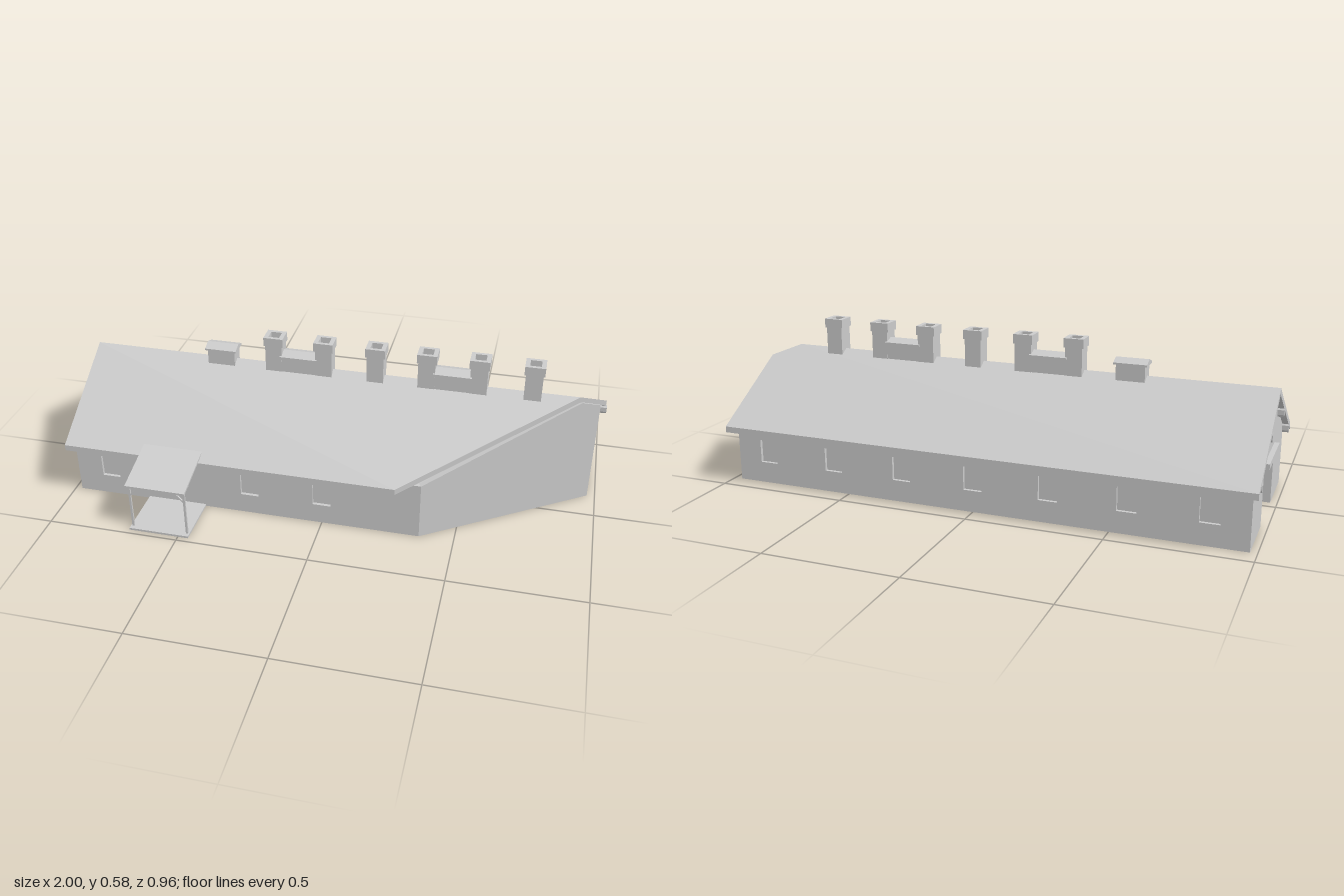
import * as THREE from 'three';

const mat = new THREE.MeshStandardMaterial({ color: 0xcccccc, flatShading: true, side: THREE.DoubleSide });
const RIDGE_Z = -0.08, RIDGE_Y = 0.465, PITCH = 0.605, ROOF_T = 0.023;
const roofY = (z) => RIDGE_Y - PITCH * Math.abs(z - RIDGE_Z);
const wallY = (z) => roofY(z) - ROOF_T;

function add(parent, name, geo) {
  const m = new THREE.Mesh(geo, mat);
  m.name = name;
  parent.add(m);
  return m;
}

// box given by its limits on each axis
function box(parent, name, x0, x1, y0, y1, z0, z1) {
  const g = new THREE.BoxGeometry(x1 - x0, y1 - y0, z1 - z0);
  g.translate((x0 + x1) / 2, (y0 + y1) / 2, (z0 + z1) / 2);
  return add(parent, name, g);
}

const toShape = (pts) => new THREE.Shape(pts.map(([x, y]) => new THREE.Vector2(x, y)));
const rect = (x0, x1, y0, y1) => [[x0, y0], [x1, y0], [x1, y1], [x0, y1]];

// plan outline (x, z) given thickness, its top following height(z)
function slab(parent, name, plan, thick, height) {
  const g = new THREE.ExtrudeGeometry(toShape(plan), { depth: thick, bevelEnabled: false });
  g.rotateX(Math.PI / 2);
  const p = g.attributes.position;
  for (let i = 0; i < p.count; i++) p.setY(i, p.getY(i) + height(p.getZ(i)));
  g.computeVertexNormals();
  return add(parent, name, g);
}

// upright wall from plan point a to b, with recessed windows [u0, u1, y0, y1]
function wall(parent, name, a, b, outline, windows = []) {
  const group = new THREE.Group();
  group.name = name;
  const s = toShape(outline);
  for (const w of windows) s.holes.push(new THREE.Path(toShape(rect(...w)).getPoints()));
  const g = new THREE.ExtrudeGeometry(s, { depth: 0.02, bevelEnabled: false });
  g.translate(0, 0, -0.02);
  add(group, name + 'Panel', g);
  for (const [u0, u1, y0, y1] of windows) {
    box(group, 'windowPane', u0 - 0.003, u1 + 0.003, y0 - 0.003, y1 + 0.003, -0.019, -0.012);
  }
  group.position.set(a[0], 0, a[1]);
  group.rotation.y = Math.atan2(-(b[1] - a[1]), b[0] - a[0]);
  parent.add(group);
}

// hollow square cap or shaft
function squareTube(parent, name, x, y0, y1, w, d, hole) {
  const s = toShape(rect(-w / 2, w / 2, -d / 2, d / 2));
  s.holes.push(new THREE.Path(toShape(rect(-hole / 2, hole / 2, -hole / 2, hole / 2)).getPoints()));
  const g = new THREE.ExtrudeGeometry(s, { depth: y1 - y0, bevelEnabled: false });
  g.rotateX(-Math.PI / 2);
  g.translate(x, y0, RIDGE_Z);
  add(parent, name, g);
}

function chimney(parent, x) {
  const c = new THREE.Group();
  c.name = 'chimney';
  box(c, 'chimneyShaft', x - 0.032, x + 0.032, 0.4, 0.555, RIDGE_Z - 0.032, RIDGE_Z + 0.032);
  squareTube(c, 'chimneyCap', x, 0.55, 0.585, 0.075, 0.069, 0.042);
  parent.add(c);
}

// ridge vent with a small gabled lid
function vent(parent, x0, x1, lip) {
  const v = new THREE.Group();
  v.name = 'ridgeVent';
  box(v, 'ventBody', x0, x1, 0.4, 0.512, RIDGE_Z - 0.031, RIDGE_Z + 0.031);
  const lid = toShape([[-0.038, 0.505], [0.038, 0.505], [0.038, 0.512], [0, 0.526], [-0.038, 0.512]]);
  const g = new THREE.ExtrudeGeometry(lid, { depth: x1 - x0 + 2 * lip, bevelEnabled: false });
  g.rotateY(Math.PI / 2);
  g.translate(x0 - lip, 0, RIDGE_Z);
  add(v, 'ventLid', g);
  parent.add(v);
}

export function createModel() {
  const house = new THREE.Group();
  house.name = 'house';

  // wall lines, plus the entrance recess in the left end
  const L = -0.975, R = 0.97, F = 0.275, B = -0.43;
  const cutX = 0.37, cutZ = -0.125, rz0 = -0.2, rz1 = 0.04, rx = -0.62, doorY = 0.215;

  slab(house, 'floor', [[L, F], [cutX, F], [R, cutZ], [R, B], [L, B], [L, rz0], [rx, rz0], [rx, rz1], [L, rz1]],
    0.01, () => 0.01);

  // outer walls
  const win = (u) => [u - 0.035, u + 0.035, 0.08, 0.168];
  wall(house, 'frontWall', [L, F], [cutX, F], rect(0, cutX - L, 0, wallY(F)),
    [-0.84, -0.56, -0.28, 0].map((x) => win(x - L)));
  wall(house, 'backWall', [R, B], [L, B], rect(0, R - L, 0, wallY(B)),
    [-3, -2, -1, 0, 1, 2, 3].map((i) => win(R - i * 0.28)));
  const cutLen = Math.hypot(R - cutX, F - cutZ);
  wall(house, 'angledWall', [cutX, F], [R, cutZ], [[0, 0], [cutLen, 0], [cutLen, wallY(cutZ)],
    [cutLen * (F - RIDGE_Z) / (F - cutZ), wallY(RIDGE_Z)], [0, wallY(F)]]);
  wall(house, 'rightEndWall', [R, cutZ], [R, B],
    [[0, 0], [cutZ - B, 0], [cutZ - B, wallY(B)], [0, wallY(cutZ)]], [[0.08, 0.17, 0.115, 0.2]]);
  wall(house, 'leftEndWall', [L, B], [L, F], [[0, 0], [rz0 - B, 0], [rz0 - B, doorY], [rz1 - B, doorY],
    [rz1 - B, 0], [F - B, 0], [F - B, wallY(F)], [RIDGE_Z - B, wallY(RIDGE_Z)], [0, wallY(B)]]);

  // entrance recess
  box(house, 'recessSide', L + 0.001, rx, 0, doorY + 0.01, rz0 - 0.01, rz0);
  box(house, 'recessSide', L + 0.001, rx, 0, doorY + 0.01, rz1, rz1 + 0.01);
  box(house, 'recessBack', rx, rx + 0.01, 0, doorY + 0.01, rz0 - 0.01, rz1 + 0.01);
  box(house, 'recessCeiling', L + 0.001, rx, doorY, doorY + 0.01, rz0, rz1);
  box(house, 'lintel', L - 0.018, L + 0.01, doorY - 0.005, doorY + 0.015, rz0 - 0.005, rz1 + 0.005);

  // two roof slopes, clipped along the angled wall
  slab(house, 'frontRoof', [[-0.998, RIDGE_Z], [0.893, RIDGE_Z], [0.28, 0.315], [-0.998, 0.315]], ROOF_T, roofY);
  slab(house, 'backRoof', [[-0.998, -0.48], [0.99, -0.48], [0.99, -0.143], [0.893, RIDGE_Z], [-0.998, RIDGE_Z]],
    ROOF_T, roofY);

  // purlin ends under the verges
  const purlin = (x, z) => {
    const g = new THREE.CylinderGeometry(1, 1, 0.07, 6);
    g.rotateY(Math.PI / 2);
    g.rotateZ(Math.PI / 2);
    g.scale(1, 0.018, 0.008);
    g.translate(x, wallY(z) - 0.013, z);
    add(house, 'purlinEnd', g);
  };
  for (const z of [-0.42, -0.235]) {
    purlin(0.965, z);
    purlin(-0.965, z);
    purlin(-0.965, 2 * RIDGE_Z - z);
  }

  // chimneys and ridge vents
  for (const x of [-0.265, -0.07, 0.13, 0.325, 0.52, 0.72]) chimney(house, x);
  vent(house, -0.24, -0.095, 0);
  vent(house, 0.35, 0.495, 0);
  vent(house, -0.53, -0.423, 0.008);

  // front porch
  const porch = new THREE.Group();
  porch.name = 'porch';
  const p0 = -0.69, p1 = -0.46, mid = (p0 + p1) / 2;
  box(porch, 'porchFloor', p0, p1, 0, 0.008, F, 0.48);
  slab(porch, 'porchRoof', [[p0, 0.27], [p1, 0.27], [p1, 0.478], [p0, 0.478]], 0.008,
    (z) => 0.2 + (0.478 - z) * 0.25);
  box(porch, 'porchBeam', p0 + 0.005, p1 - 0.005, 0.187, 0.197, 0.456, 0.464);
  for (const s of [-1, 1]) {
    const x = mid + s * 0.106;
    box(porch, 'porchPost', x - 0.004, x + 0.004, 0.008, 0.195, 0.456, 0.464);
    const brace = add(porch, 'porchBrace', new THREE.BoxGeometry(0.006, 0.062, 0.006));
    brace.position.set(x - s * 0.02, 0.168, 0.46);
    brace.rotation.z = s * Math.PI / 4;
  }
  house.add(porch);

  return house;
}
